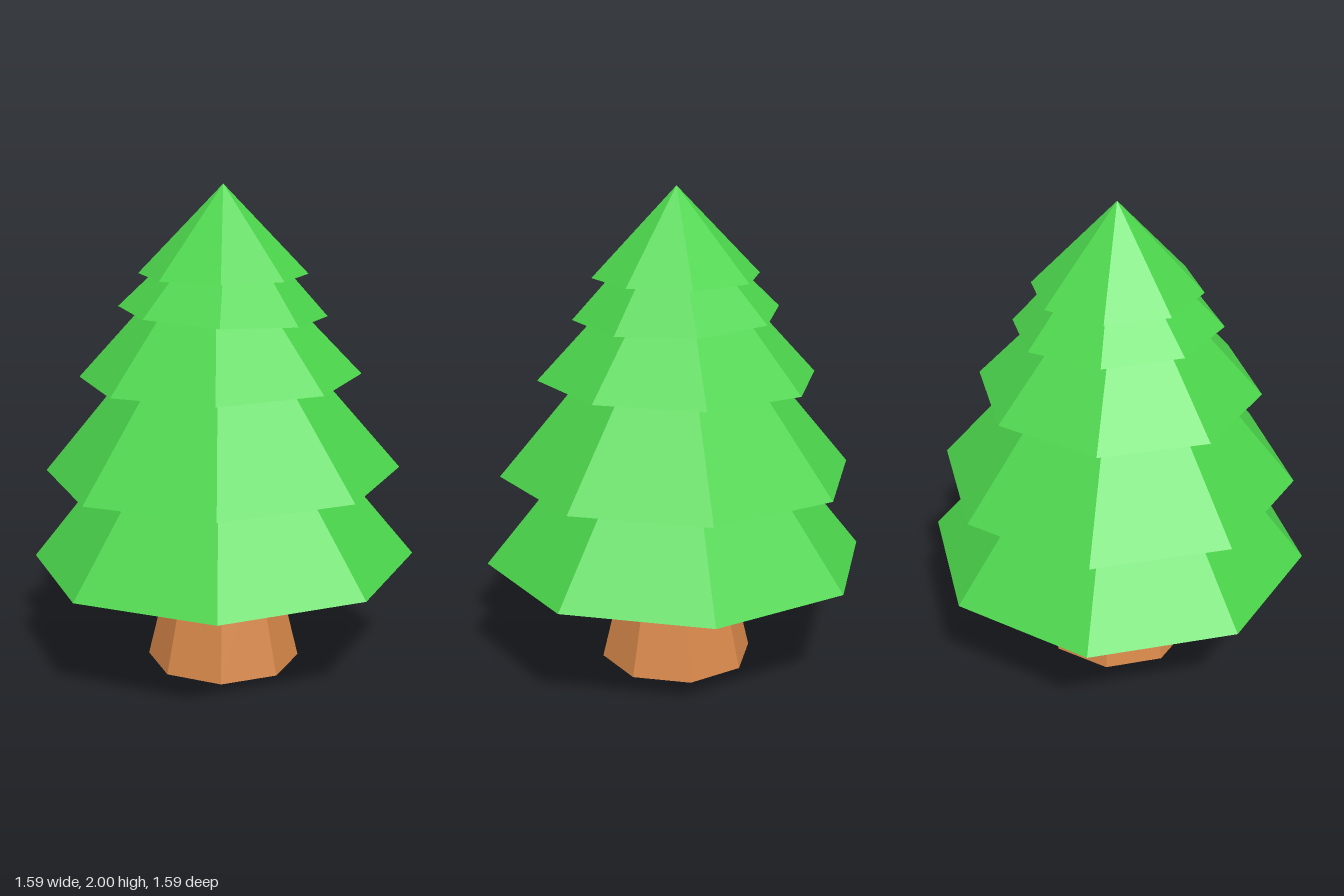
import * as THREE from 'three';

const SIDES = 8;

export function createModel() {
  const tree = new THREE.Group();
  tree.name = 'pineTree';
  const bark = new THREE.MeshStandardMaterial({ color: 0xd58648, flatShading: true });
  const needles = new THREE.MeshStandardMaterial({ color: 0x4bd44b, flatShading: true });

  // Tapered trunk, its top sunk into the lowest tier
  const trunk = new THREE.Mesh(new THREE.CylinderGeometry(0.2, 0.32, 0.5, SIDES), bark);
  trunk.name = 'trunk';
  trunk.position.y = 0.25;
  tree.add(trunk);

  // Overlapping foliage cones, each leaning slightly about its base centre
  const tiers = [
    { x: 0, y: 0.452, radius: 0.797, height: 0.98, lean: 0.016 },
    { x: -0.004, y: 0.828, radius: 0.735, height: 0.875, lean: 0.017 },
    { x: -0.013, y: 1.225, radius: 0.578, height: 0.62, lean: 0.017 },
    { x: -0.002, y: 1.49, radius: 0.425, height: 0.44, lean: -0.045 },
    { x: 0, y: 1.643, radius: 0.343, height: 0.357, lean: 0 },
  ];
  tiers.forEach(({ x, y, radius, height, lean }, i) => {
    const cone = new THREE.ConeGeometry(radius, height, SIDES).translate(0, height / 2, 0);
    const tier = new THREE.Mesh(cone, needles);
    tier.name = `foliageTier${i + 1}`;
    tier.position.set(x, y, 0);
    tier.rotation.z = lean;
    tree.add(tier);
  });

  return tree;
}
